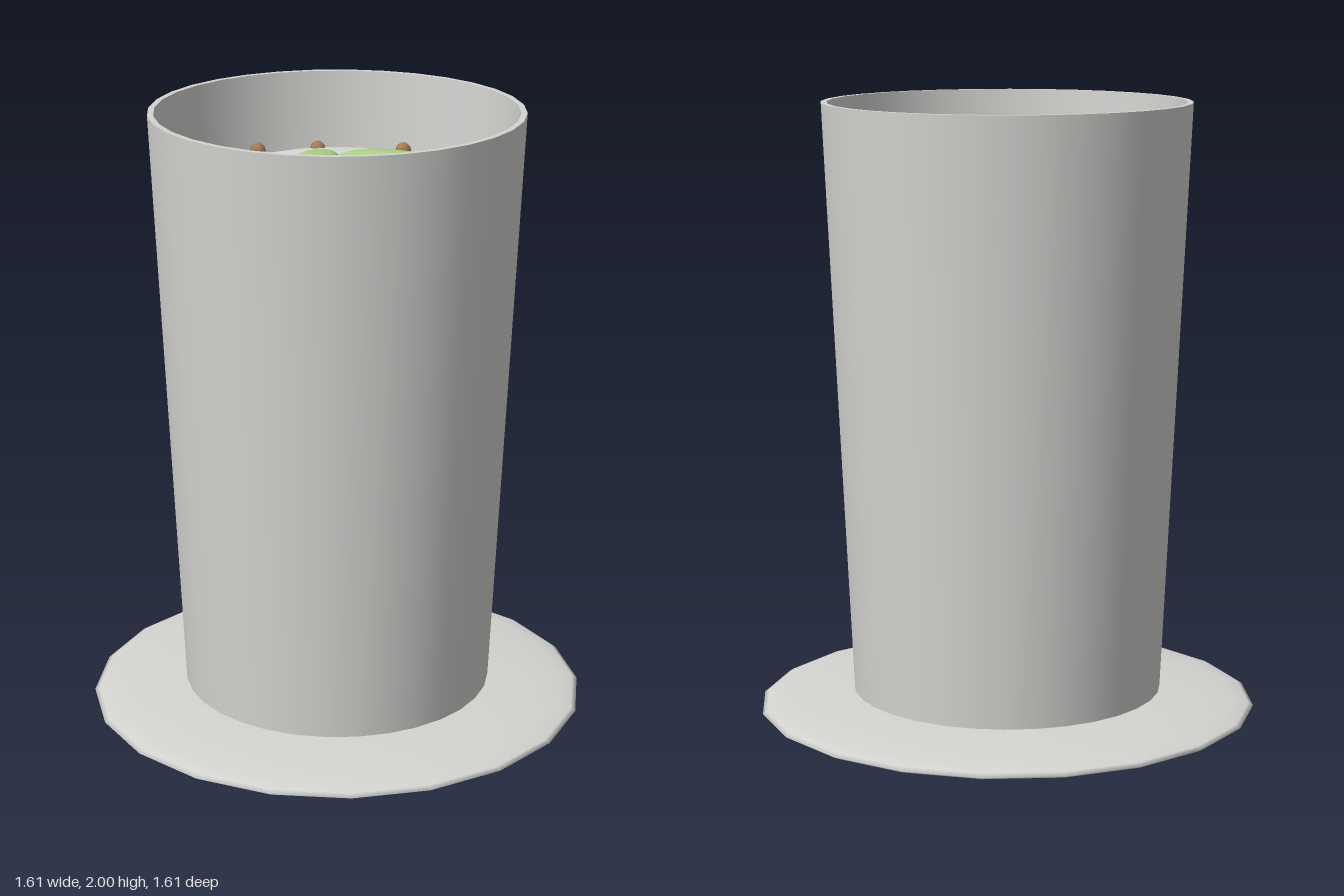
import * as THREE from 'three';

const material = (name, color, side = THREE.FrontSide) => {
  const m = new THREE.MeshStandardMaterial({ color, side });
  m.name = name;
  return m;
};

export function createModel() {
  const group = new THREE.Group();
  const ceramic = material('pale grey ceramic', 0xd4d4d1, THREE.DoubleSide);
  const foam = material('off-white foam', 0xdcdcda);
  const green = material('leaf green', 0xaed581);
  const brown = material('crumb brown', 0xa67c52);

  const add = (name, geometry, mat, x, y, z) => {
    const mesh = new THREE.Mesh(geometry, mat);
    mesh.name = name;
    mesh.position.set(x, y, z);
    group.add(mesh);
    return mesh;
  };
  // Squashed sphere with its poles up
  const ellipsoid = (rx, ry, rz, across, up) =>
    new THREE.SphereGeometry(1, across, up).scale(rx, ry, rz);

  // Thin lens-shaped saucer
  add('saucer', ellipsoid(0.805, 0.047, 0.805, 20, 16), ceramic, 0, 0.047, 0);

  // Tapered tumbler: outer wall, inner wall, rim and floor
  add('cupOuterWall', new THREE.CylinderGeometry(0.587, 0.5, 1.9, 32, 1, true), ceramic, 0, 1.05, 0);
  add('cupInnerWall', new THREE.CylinderGeometry(0.568, 0.482, 1.9, 32, 1, true), ceramic, 0, 1.05, 0);
  add('cupRim', new THREE.RingGeometry(0.568, 0.587, 32).rotateX(-Math.PI / 2), ceramic, 0, 2, 0);
  add('cupFloor', new THREE.CircleGeometry(0.5, 32).rotateX(Math.PI / 2), ceramic, 0, 0.1, 0);

  // Domed filling
  add('foam', ellipsoid(0.528, 0.17, 0.528, 20, 16), foam, 0, 1.67, 0);

  // Two leaves resting on the dome
  const leaf = (x, z, length, width, turn) => {
    const geometry = new THREE.SphereGeometry(1, 10, 8).rotateZ(Math.PI / 2).scale(length, 0.03, width);
    add('leaf', geometry, green, x, 1.85, z).rotation.y = turn;
  };
  leaf(0.158, -0.003, 0.162, 0.086, 0);
  leaf(-0.06, 0.085, 0.143, 0.073, -1.73);

  // Crumbs scattered over the dome, some half sunk
  const crumb = new THREE.SphereGeometry(0.026, 6, 6);
  [
    [0.14, -0.3], [-0.13, -0.25], [-0.31, -0.18], [0.365, -0.08], [-0.295, 0.12],
    [0.28, 0.1], [0.1, 0.33], [-0.07, 0.255], [0.2, -0.13],
  ].forEach(([x, z]) => add('crumb', crumb, brown, x, 1.81, z));

  return group;
}
